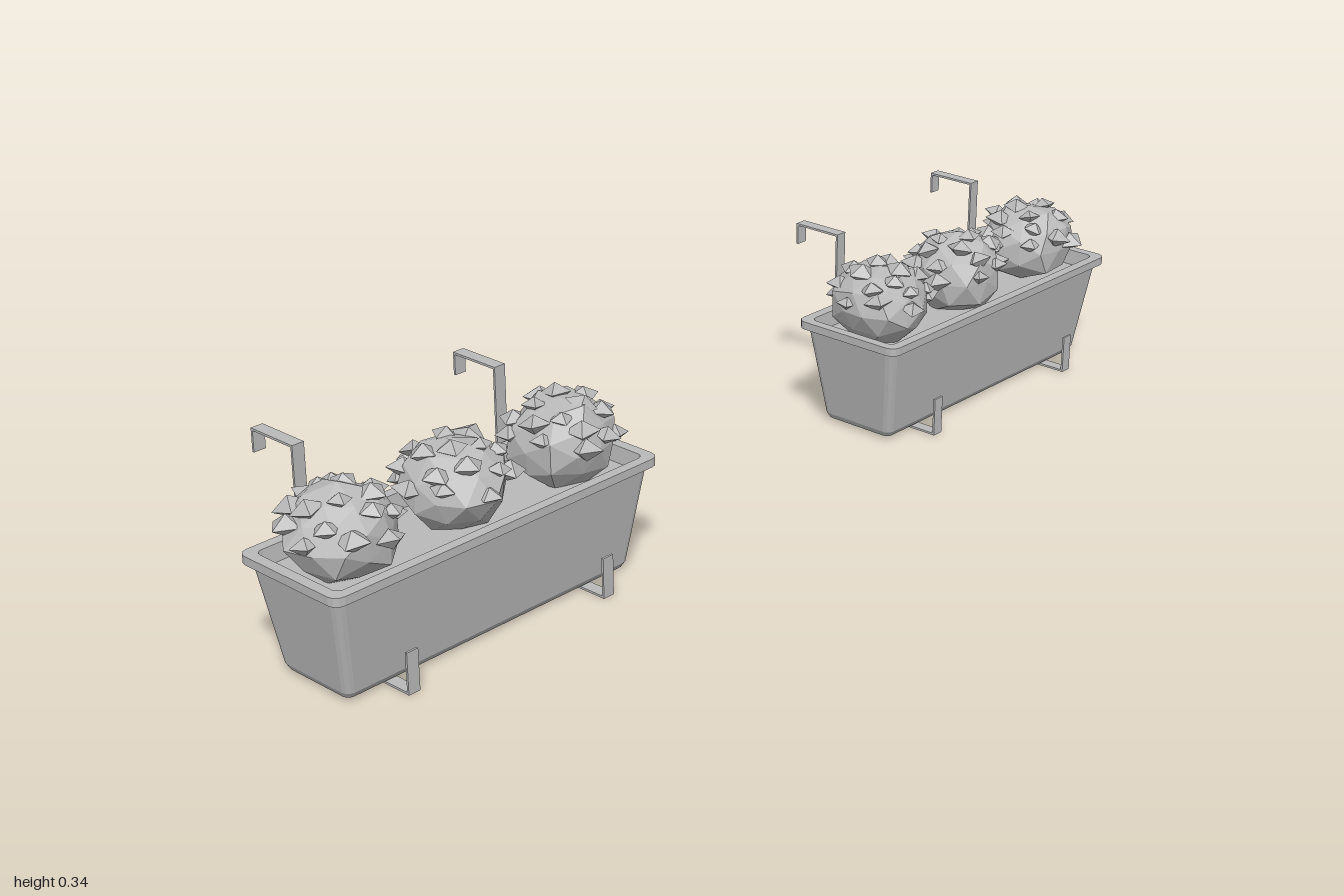
import * as THREE from 'three';
import { mergeVertices } from 'three/addons/utils/BufferGeometryUtils.js';

const grey = new THREE.MeshStandardMaterial({ color: 0xbababa });
grey.name = 'plain grey';

// small seeded generator
function seeded(seed) {
  let s = seed;
  return () => (s = (s * 16807) % 2147483647) / 2147483647;
}

function part(name, geometry) {
  const mesh = new THREE.Mesh(geometry, grey);
  mesh.name = name;
  return mesh;
}

// rounded rectangle ring at height y, counter-clockwise from above
function ring(y, hx, hz, radius) {
  const r = Math.min(radius, hx, hz), pts = [];
  const corners = [[1, -1], [-1, -1], [-1, 1], [1, 1]];
  corners.forEach(([sx, sz], c) => {
    for (let k = 0; k <= 3; k++) {
      const a = (c + k / 3) * Math.PI / 2;
      pts.push([sx * (hx - r) + r * Math.cos(a), y, sz * (hz - r) - r * Math.sin(a)]);
    }
  });
  return pts;
}

// flat-faced skin through a list of rings
function loft(profile) {
  const rings = profile.map((p) => ring(...p)), pos = [];
  for (let j = 0; j + 1 < rings.length; j++) {
    const lo = rings[j], hi = rings[j + 1], n = lo.length;
    for (let i = 0; i < n; i++) {
      const k = (i + 1) % n;
      pos.push(...lo[i], ...lo[k], ...hi[k], ...lo[i], ...hi[k], ...hi[i]);
    }
  }
  const g = new THREE.BufferGeometry();
  g.setAttribute('position', new THREE.Float32BufferAttribute(pos, 3));
  g.computeVertexNormals();
  return g;
}

// flat strap bent along a z/y path
function bracket() {
  const group = new THREE.Group();
  group.name = 'bracket';
  const path = [[0.171, 0.072], [0.171, 0.003], [-0.072, 0.003], [-0.072, 0.34], [-0.169, 0.34], [-0.169, 0.303]];
  const t = 0.004;
  for (let i = 0; i + 1 < path.length; i++) {
    const [z0, y0] = path[i], [z1, y1] = path[i + 1];
    const strap = part('strap', new THREE.BoxGeometry(0.023, Math.abs(y1 - y0) + t, Math.abs(z1 - z0) + t));
    strap.position.set(0, (y0 + y1) / 2, (z0 + z1) / 2);
    group.add(strap);
  }
  return group;
}

// faceted crown with an uneven surface
function crown(random) {
  let g = new THREE.IcosahedronGeometry(1, 1);
  g.deleteAttribute('normal');
  g.deleteAttribute('uv');
  g = mergeVertices(g);
  const p = g.attributes.position;
  for (let i = 0; i < p.count; i++) {
    const f = 0.9 + random() * 0.18;
    p.setXYZ(i, p.getX(i) * f * 0.094, p.getY(i) * f * 0.078, p.getZ(i) * f * 0.09);
  }
  g = g.toNonIndexed();
  g.computeVertexNormals();
  return g;
}

function bush(seed) {
  const random = seeded(seed), group = new THREE.Group();
  group.name = 'bush';
  const body = part('foliage', crown(random));
  body.rotation.y = random() * 6;
  group.add(body);
  // pointed leaf tufts over the upper half
  const count = 20;
  for (let i = 0; i < count; i++) {
    const up = 0.97 - 0.95 * (i + random() * 0.6) / count;
    const out = Math.sqrt(1 - up * up), a = i * 2.4 + seed + random() * 0.5;
    const size = 0.02 + random() * 0.011;
    const tuft = part('leafTuft', new THREE.OctahedronGeometry(1));
    tuft.scale.set(size, size * 0.62, size);
    tuft.position.set(Math.cos(a) * out * 0.088, up * 0.074, Math.sin(a) * out * 0.088);
    tuft.rotation.set((random() - 0.5) * 0.5, random() * 3, (random() - 0.5) * 0.5);
    group.add(tuft);
  }
  return group;
}

function planter(seed) {
  const group = new THREE.Group();
  group.name = 'planter';
  const box = new THREE.Group();
  box.name = 'trough';
  box.position.z = 0.05;
  // closed base, tapering walls, rim and inner walls
  box.add(part('troughShell', loft([
    [0.008, 0, 0, 0], [0.008, 0.298, 0.073, 0.012], [0.018, 0.303, 0.079, 0.014],
    [0.192, 0.331, 0.103, 0.016], [0.192, 0.342, 0.115, 0.018], [0.207, 0.342, 0.115, 0.018],
    [0.207, 0.323, 0.096, 0.012], [0.17, 0.319, 0.092, 0.012],
  ])));
  box.add(part('soil', loft([[0.178, 0.321, 0.094, 0.012], [0.178, 0, 0, 0]])));
  group.add(box);

  // three bushes in a row
  [-0.232, 0, 0.234].forEach((x, i) => {
    const plant = bush(seed + i * 97);
    plant.position.set(x, 0.24, 0.046);
    group.add(plant);
  });
  // two hanging brackets
  for (const x of [-0.21, 0.21]) {
    const hook = bracket();
    hook.position.x = x;
    group.add(hook);
  }
  return group;
}

export function createModel() {
  const model = new THREE.Group();
  model.name = 'hangingPlanters';
  [-0.657, 0.645].forEach((x, i) => {
    const p = planter(1231 + i * 577);
    p.position.x = x;
    model.add(p);
  });
  return model;
}
